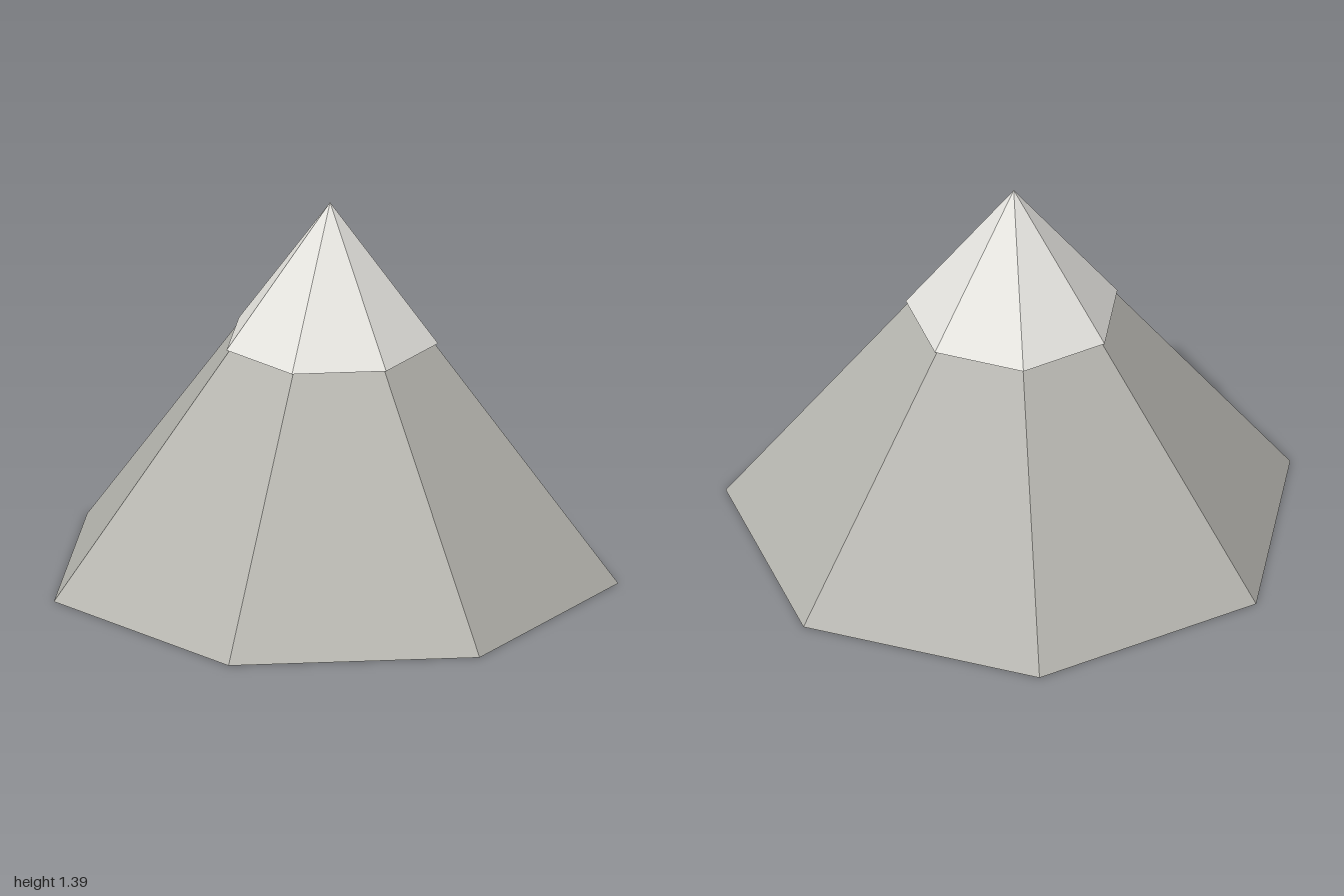
import * as THREE from 'three';

const SIDES = 7;

export function createModel() {
  const rock = new THREE.MeshStandardMaterial({ color: 0xb8b7b1, flatShading: true });
  rock.name = 'rock grey';
  const snow = new THREE.MeshStandardMaterial({ color: 0xe6e5e0, flatShading: true });
  snow.name = 'snow white';

  const mountain = new THREE.Group();
  mountain.name = 'mountain';

  // Seven-sided cone standing on baseY, with one corner towards +x
  function addCone(name, radius, height, baseY, material) {
    const geometry = new THREE.ConeGeometry(radius, height, SIDES, 1, false, Math.PI / 2);
    const mesh = new THREE.Mesh(geometry, material);
    mesh.name = name;
    mesh.position.set(-0.0508, baseY + height / 2, 0);
    mountain.add(mesh);
  }

  // Rock slopes, and a snow cap of the same slope that overhangs them slightly
  addCone('mountainBody', 1.0257, 1.3676, 0, rock);
  addCone('snowCap', 0.3846, 0.5128, 0.8725, snow);

  return mountain;
}
